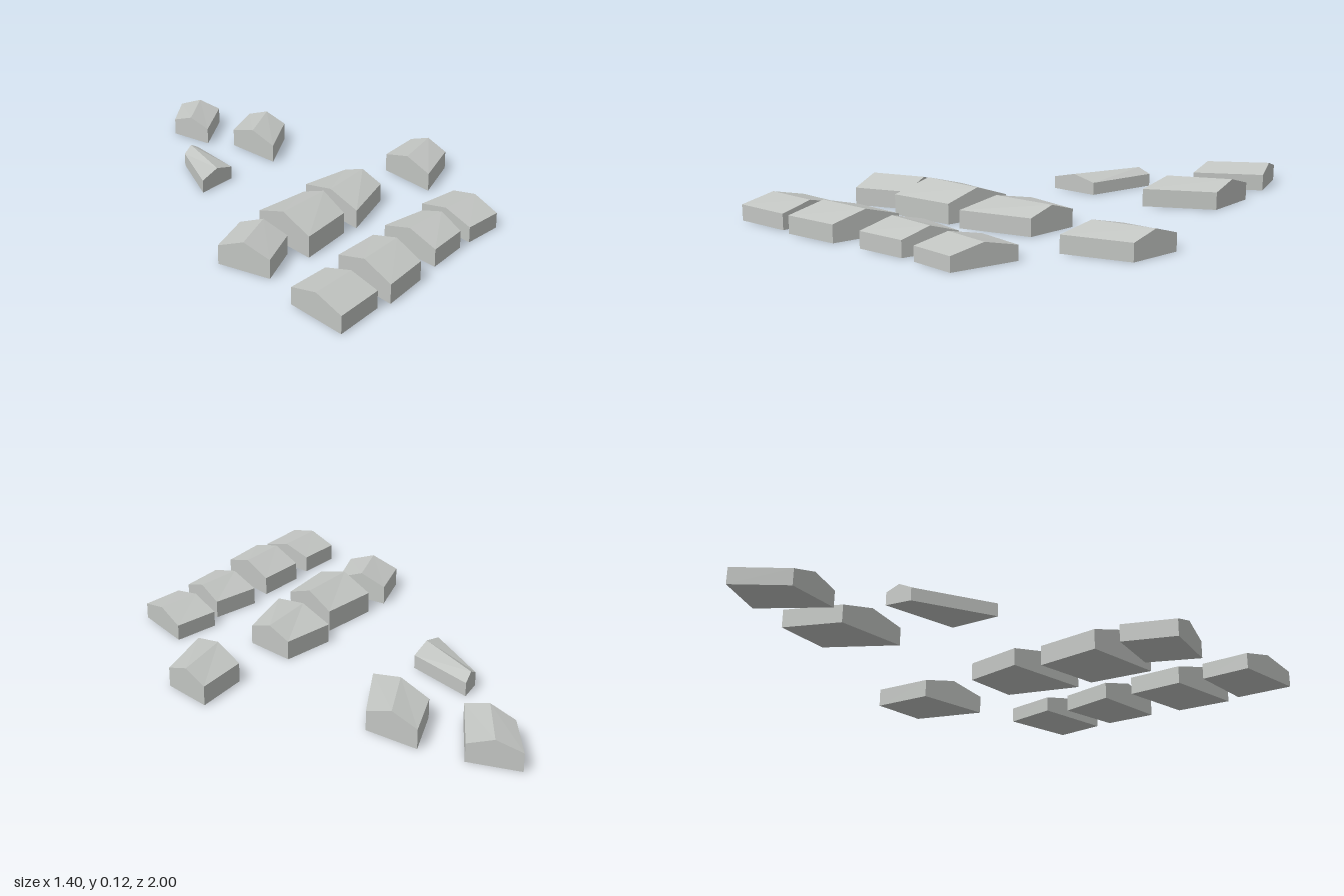
import * as THREE from 'three';

// Each house: footprint corners [x, z] a, b, c, d, clockwise from above.
// Edges a-b and c-d carry the gables; the ridge joins their midpoints.
const HOUSES = [
  { plan: [[-0.70, -1.0], [-0.52, -0.95], [-0.52, -0.67], [-0.685, -0.78]], eave: 0.065, ridge: 0.095 },
  { plan: [[-0.37, -0.88], [-0.2, -0.765], [-0.21, -0.48], [-0.405, -0.66]], eave: 0.07, ridge: 0.103 },
  { plan: [[-0.565, -0.4], [-0.53, -0.49], [-0.35, -0.275], [-0.435, -0.11]], eave: 0.05, ridge: 0.073 },
  { plan: [[0.355, -0.63], [0.5, -0.49], [0.44, -0.23], [0.262, -0.435]], eave: 0.07, ridge: 0.103 },
  { plan: [[0.11, -0.24], [0.26, -0.105], [0.19, 0.17], [-0.025, -0.07]], eave: 0.07, ridge: 0.103 },
  { plan: [[0.54, -0.1], [0.70, 0.105], [0.602, 0.25], [0.425, 0.045]], eave: 0.058, ridge: 0.088 },
  { plan: [[-0.02, 0.03], [0.148, 0.22], [0.046, 0.446], [-0.16, 0.23]], eave: 0.08, ridge: 0.125 },
  { plan: [[0.428, 0.127], [0.57, 0.3], [0.485, 0.47], [0.3, 0.28]], eave: 0.065, ridge: 0.1 },
  { plan: [[-0.217, 0.32], [-0.032, 0.42], [-0.065, 0.63], [-0.26, 0.53]], eave: 0.07, ridge: 0.108 },
  { plan: [[0.265, 0.38], [0.44, 0.58], [0.35, 0.77], [0.16, 0.56]], eave: 0.07, ridge: 0.108 },
  { plan: [[0.125, 0.65], [0.31, 0.805], [0.21, 0.995], [0.03, 0.81]], eave: 0.063, ridge: 0.094 },
];

// Flat-shaded geometry from polygons, each fanned into triangles.
function facesGeometry(faces) {
  const points = [];
  for (const f of faces) {
    for (let i = 1; i < f.length - 1; i++) points.push(f[0], f[i], f[i + 1]);
  }
  const geometry = new THREE.BufferGeometry().setFromPoints(points);
  geometry.computeVertexNormals();
  return geometry;
}

function createHouse({ plan, eave, ridge }, material) {
  const low = plan.map(([x, z]) => new THREE.Vector3(x, 0, z));
  const high = plan.map(([x, z]) => new THREE.Vector3(x, eave, z));
  const [a, b, c, d] = high;
  const ridgeAB = a.clone().add(b).multiplyScalar(0.5).setY(ridge);
  const ridgeCD = c.clone().add(d).multiplyScalar(0.5).setY(ridge);

  // Floor, four walls and two gable triangles
  const wallFaces = [low, [b, a, ridgeAB], [d, c, ridgeCD]];
  for (let i = 0; i < 4; i++) {
    const j = (i + 1) % 4;
    wallFaces.push([low[j], low[i], high[i], high[j]]);
  }
  const walls = new THREE.Mesh(facesGeometry(wallFaces), material);
  walls.name = 'walls';

  // Two roof slopes
  const roof = new THREE.Mesh(facesGeometry([[a, d, ridgeCD, ridgeAB], [c, b, ridgeAB, ridgeCD]]), material);
  roof.name = 'roof';

  const house = new THREE.Group();
  house.add(walls, roof);
  return house;
}

export function createModel() {
  const material = new THREE.MeshStandardMaterial({ color: 0xc2c5c2 });
  material.name = 'pale grey';
  const village = new THREE.Group();
  village.name = 'village';
  HOUSES.forEach((spec, i) => {
    const house = createHouse(spec, material);
    house.name = `house${i + 1}`;
    village.add(house);
  });
  return village;
}
